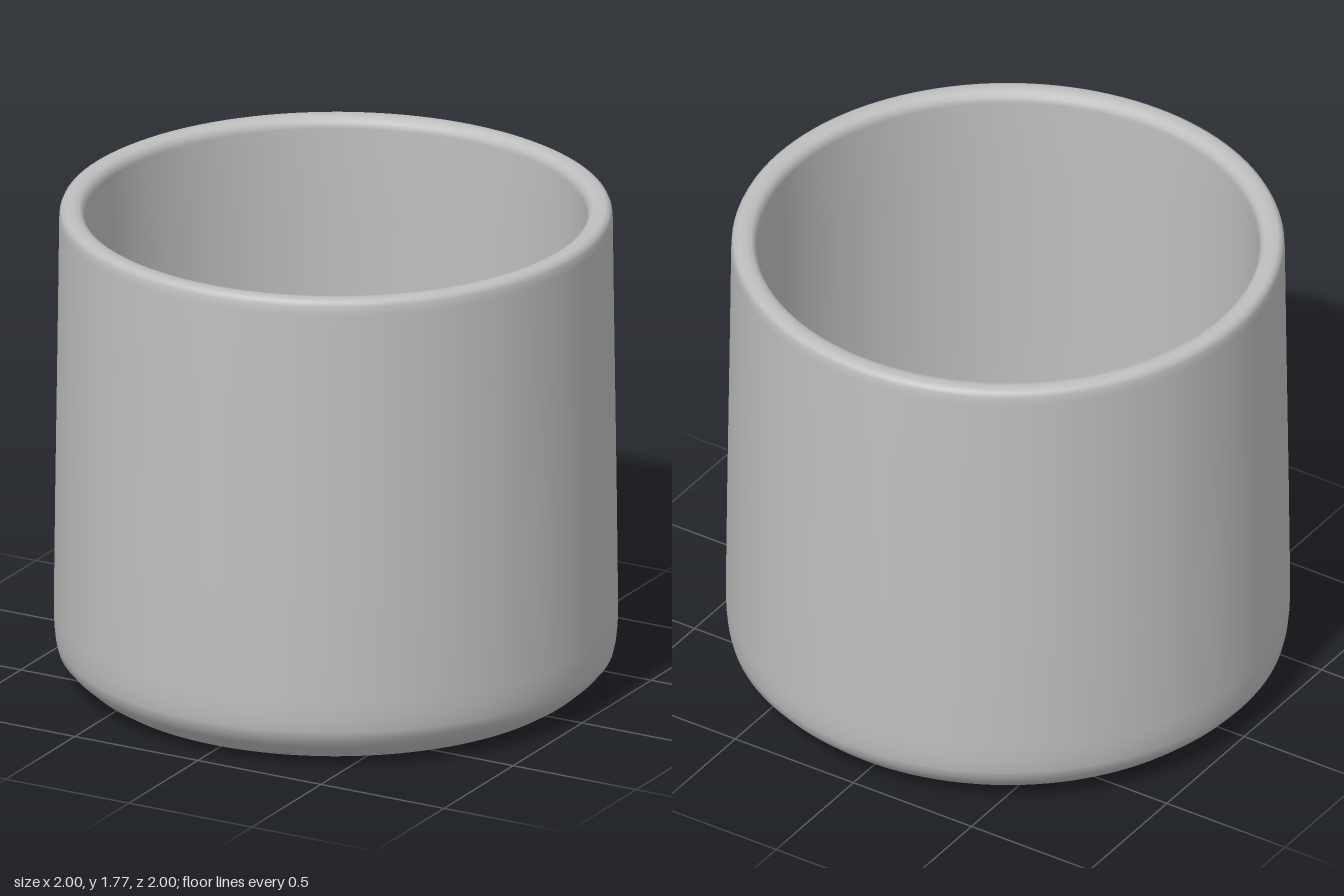
import * as THREE from 'three';

export function createModel() {
  const group = new THREE.Group();
  const ceramic = new THREE.MeshStandardMaterial({ color: 0xbfbfbf });
  ceramic.name = 'plain grey';

  // Closed profile from the hollow underside, up the wall, over the rim and down to the domed floor
  const profile = [
    [0, 0.09], [0.3, 0.085], [0.5, 0.07], [0.65, 0.045], [0.74, 0.02], [0.785, 0.003], // hollow underside
    [0.8, 0], [0.83, 0.003], [0.87, 0.015], [0.91, 0.04], [0.955, 0.08], // foot
    [0.985, 0.115], [0.993, 0.15], [0.998, 0.2], [1, 0.26], // lower bend
    [0.995, 0.7], [0.985, 1.4], [0.981, 1.72], // outer wall
    [0.979, 1.75], [0.972, 1.766], [0.957, 1.774], // rim
    [0.93, 1.774], [0.91, 1.769], [0.897, 1.757], [0.89, 1.735],
    [0.892, 1.4], [0.893, 0.7], [0.893, 0.3], // inner wall
    [0.885, 0.25], [0.865, 0.21], [0.83, 0.185], [0.79, 0.178], // inner bend
    [0.7, 0.187], [0.55, 0.21], [0.3, 0.23], [0, 0.235], // domed floor
  ].map(([r, y]) => new THREE.Vector2(r, y));

  const cup = new THREE.Mesh(new THREE.LatheGeometry(profile, 128), ceramic);
  cup.name = 'cup';
  group.add(cup);
  return group;
}
